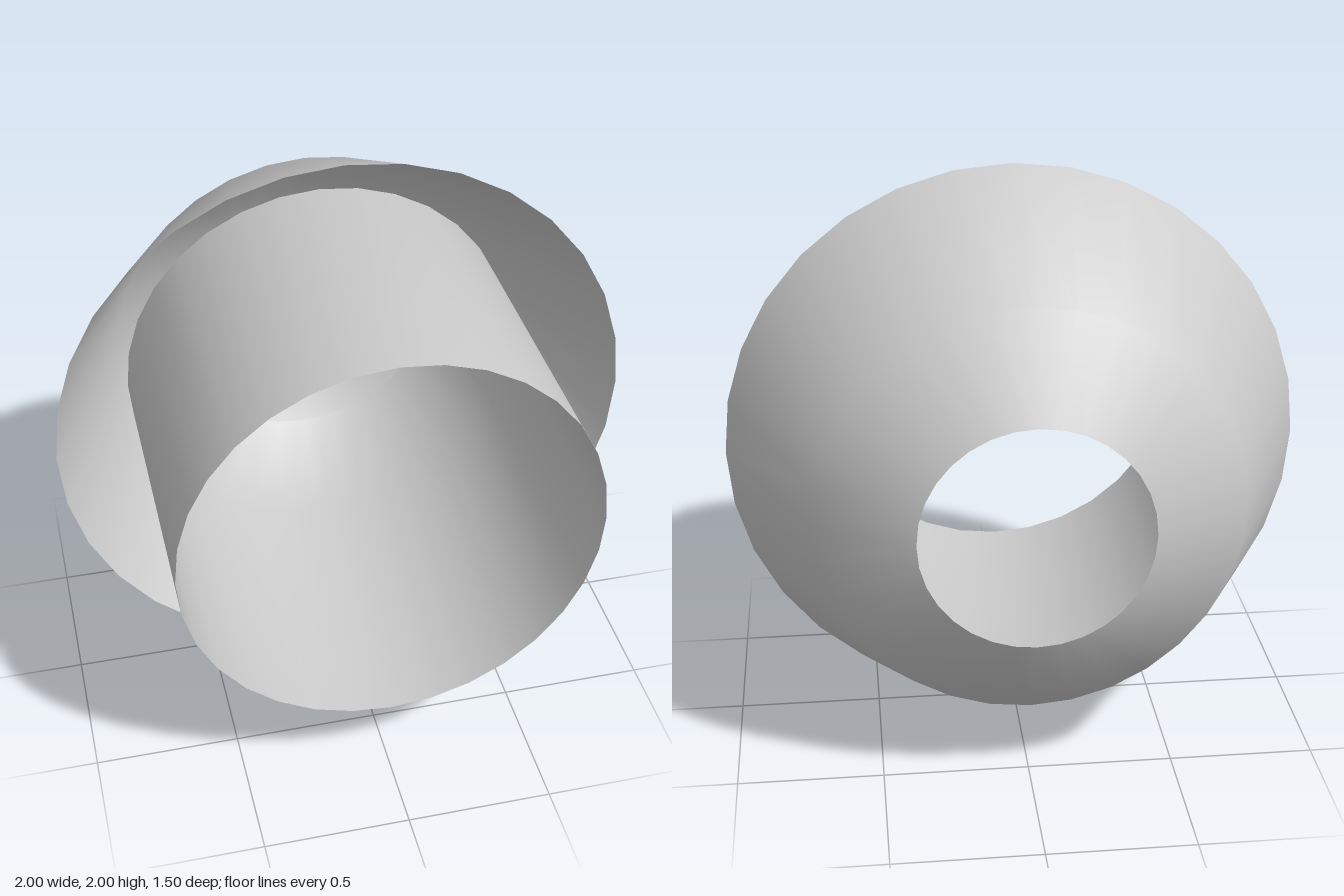
import * as THREE from 'three';

const SEGMENTS = 32;

// Thin open shell turned around the z axis from [radius, z] points, back to front
function turnedShell(name, profile, material) {
  const points = profile.map(([radius, z]) => new THREE.Vector2(radius, z));
  const geometry = new THREE.LatheGeometry(points, SEGMENTS);
  geometry.rotateX(Math.PI / 2); // lathe axis y becomes z
  const mesh = new THREE.Mesh(geometry, material);
  mesh.name = name;
  mesh.position.y = 1;
  return mesh;
}

export function createModel() {
  const material = new THREE.MeshStandardMaterial({ color: 0xcccccc, side: THREE.DoubleSide });
  const group = new THREE.Group();
  group.name = 'flaredNozzle';

  // Flared hood with a round opening at the back
  group.add(turnedShell('flaredHood', [[0.38, -0.75], [0.707, -0.57], [1, 0.04]], material));

  // Straight tube that tapers to a narrower mouth inside the hood
  group.add(turnedShell('innerTube', [[0.51, -0.66], [0.707, -0.34], [0.707, 0.75]], material));

  return group;
}
